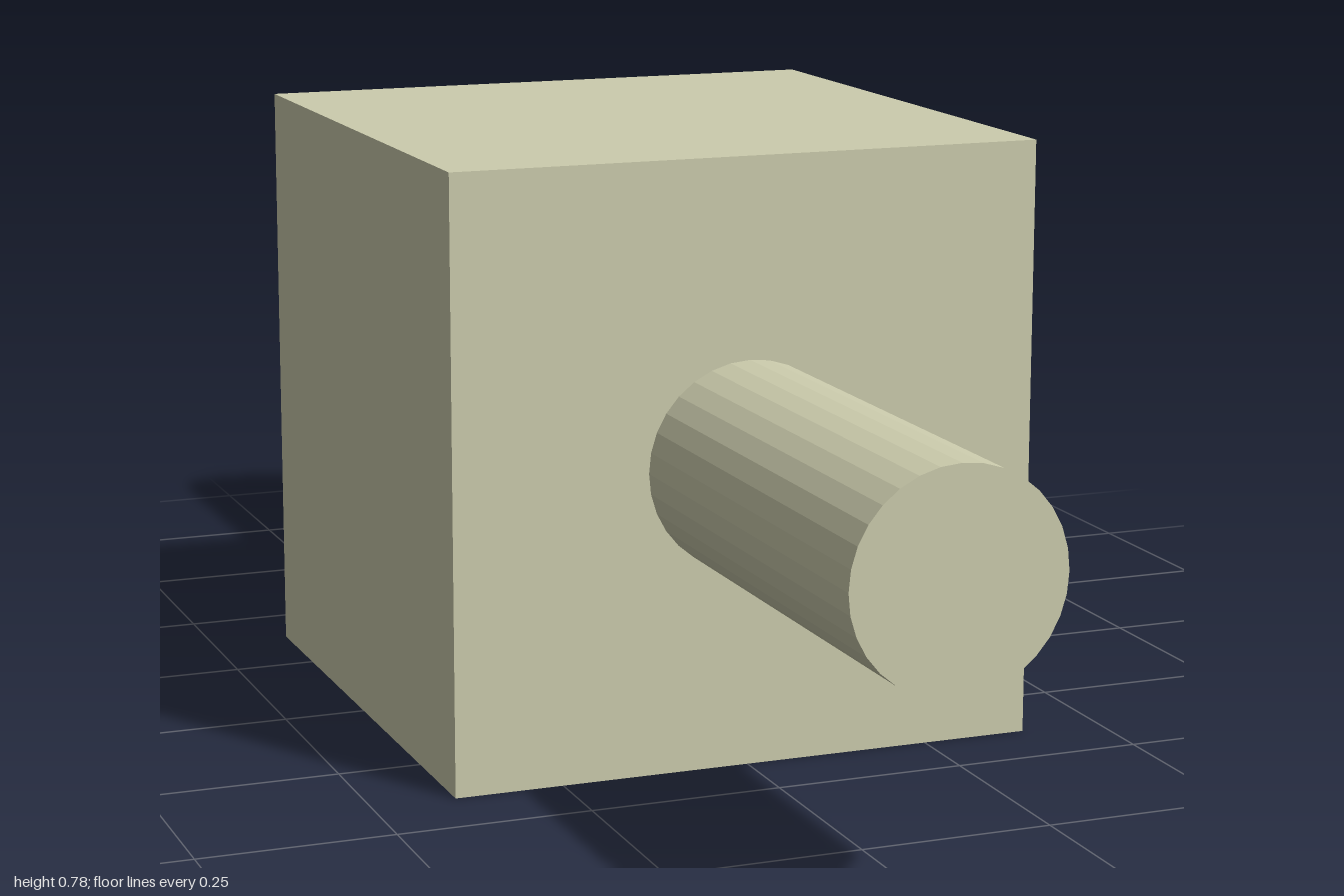
import * as THREE from 'three';

export function createModel() {
  const model = new THREE.Group();
  model.name = 'blockOnShaft';
  const material = new THREE.MeshStandardMaterial({ color: 0xccccad, flatShading: true });

  const size = 0.784;
  const centreY = size / 2;

  // Cube body, standing on the ground
  const block = new THREE.Mesh(new THREE.BoxGeometry(size, size, size), material);
  block.name = 'block';
  block.position.set(0, centreY, 0.004);
  model.add(block);

  // Faceted round shaft running front to back through the block
  const shaft = new THREE.Mesh(
    new THREE.CylinderGeometry(0.135, 0.135, 2, 32).rotateX(Math.PI / 2),
    material
  );
  shaft.name = 'shaft';
  shaft.position.y = centreY;
  model.add(shaft);

  return model;
}
